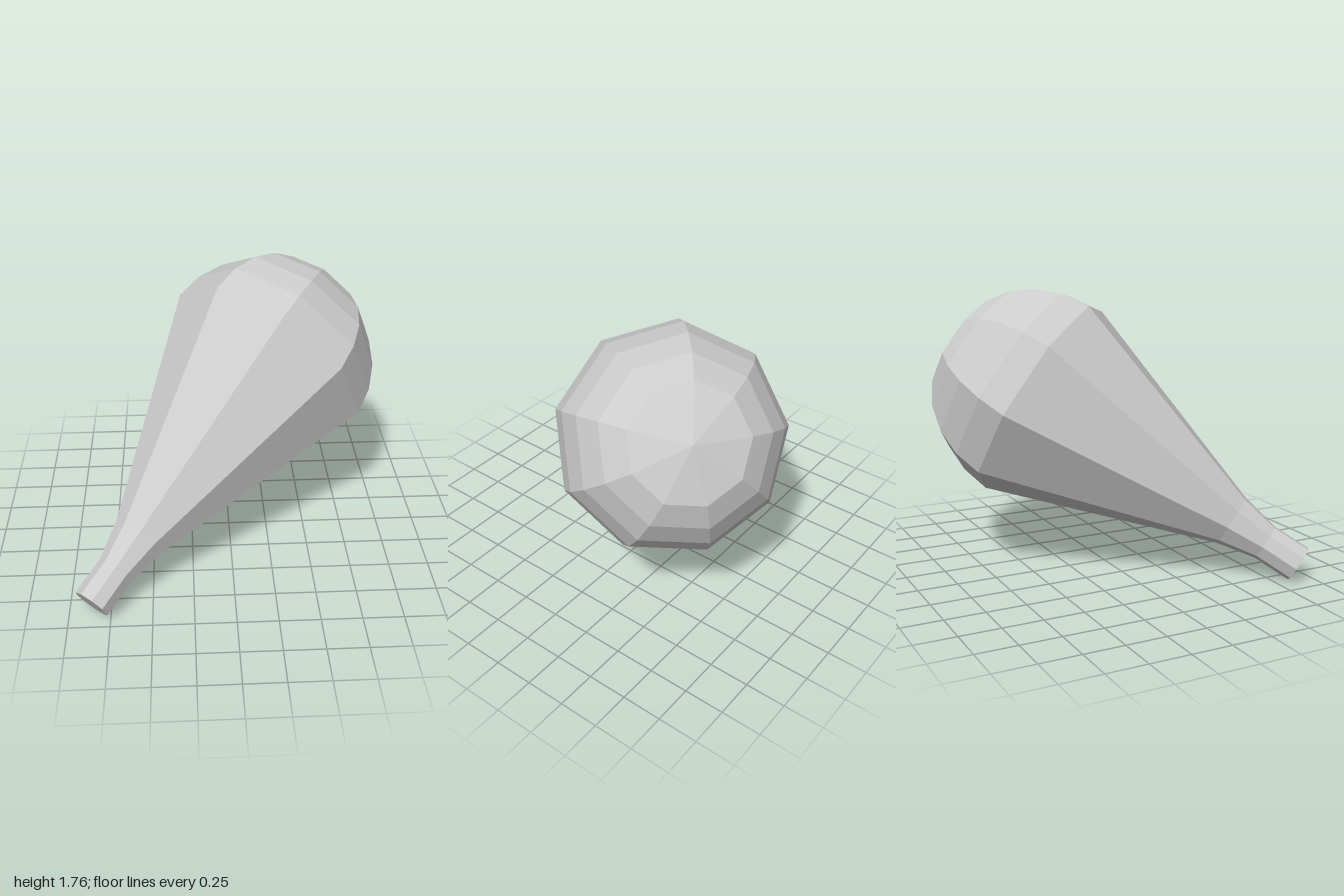
import * as THREE from 'three';

const SIDES = 9;
const BULB_R = 0.7; // radius of the dome
const BULB_T = 1.92; // distance from the end disc to the widest ring

export function createModel() {
  const model = new THREE.Group();
  const material = new THREE.MeshStandardMaterial({ color: 0xcccccc, flatShading: true });

  // Each part is turned around the long axis; profile points are [radius, distance along axis]
  const addPart = (name, profile) => {
    const points = profile.map(([r, t]) => new THREE.Vector2(r, t));
    const mesh = new THREE.Mesh(new THREE.LatheGeometry(points, SIDES), material);
    mesh.name = name;
    model.add(mesh);
  };

  // Closed end disc and straight stem
  addPart('stem', [[0, 0], [0.118, 0], [0.118, 0.24]]);

  // Flare and long cone
  addPart('cone', [[0.118, 0.24], [0.171, 0.485], [BULB_R, BULB_T]]);

  // Half-sphere head with a fan of facets at the tip
  addPart('dome', [0, 15, 30, 45, 60, 90].map((deg) => {
    const a = THREE.MathUtils.degToRad(deg);
    return [deg === 90 ? 0 : BULB_R * Math.cos(a), BULB_T + BULB_R * Math.sin(a)];
  }));

  // Tilt the long axis and turn one corner of the rings to its place
  const axis = new THREE.Vector3(0.58, 0.504, -0.641).normalize();
  const corner = new THREE.Vector3(0.416, 0.2, 0.531);
  const side = new THREE.Vector3().crossVectors(axis, corner).normalize();
  corner.crossVectors(side, axis);
  model.quaternion.setFromRotationMatrix(new THREE.Matrix4().makeBasis(side, axis, corner));
  model.position.set(-0.858, 0.103, 0.91);

  const root = new THREE.Group();
  model.name = 'taperedBulb';
  root.add(model);
  return root;
}
